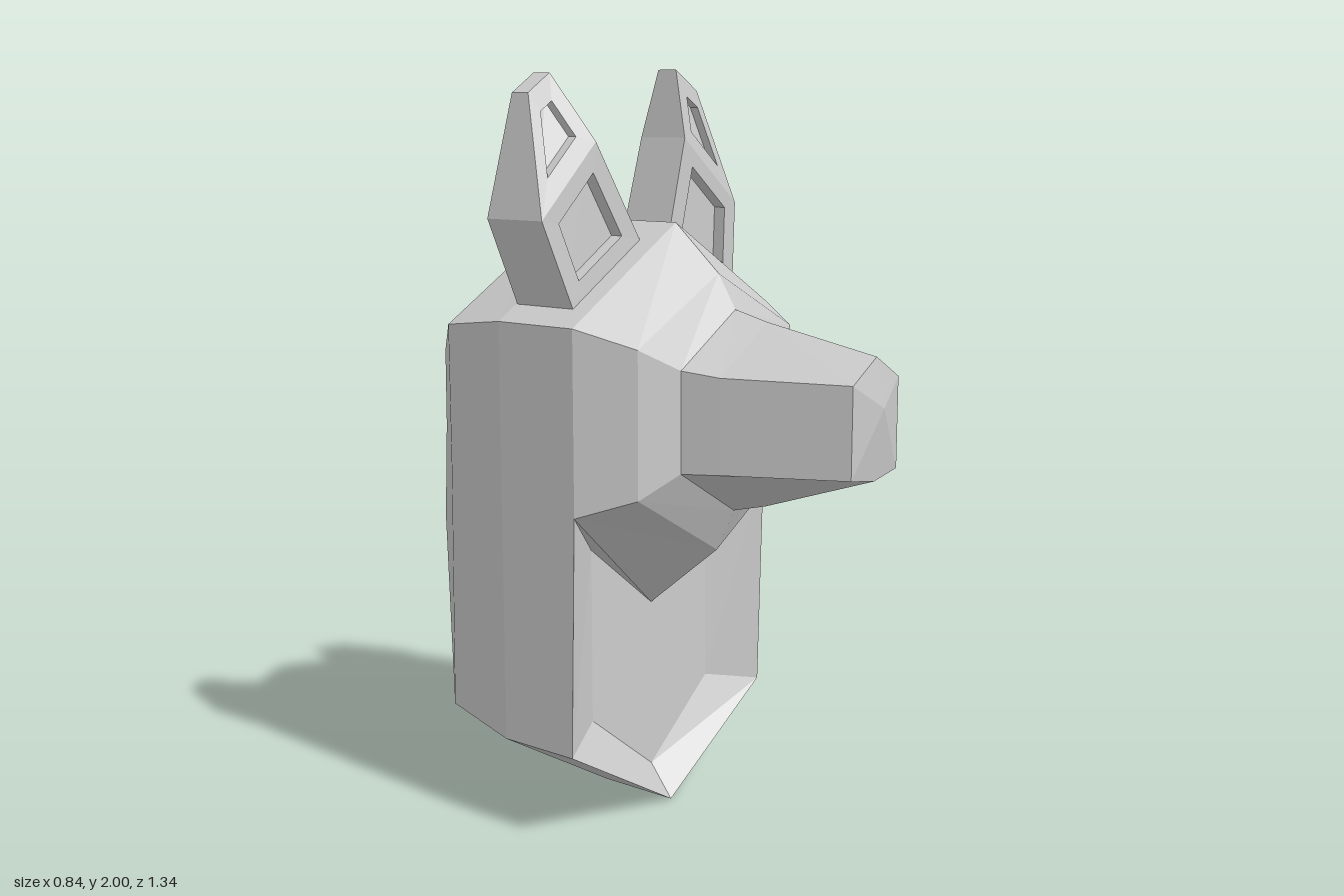
import * as THREE from 'three';

const material = new THREE.MeshStandardMaterial({ color: 0xcccccc, flatShading: true });

// Turns a list of convex polygons (corner arrays) into a flat-faceted mesh
function facetMesh(name, faces) {
  const pos = [];
  for (const f of faces)
    for (let i = 1; i < f.length - 1; i++) pos.push(...f[0], ...f[i], ...f[i + 1]);
  const g = new THREE.BufferGeometry();
  g.setAttribute('position', new THREE.Float32BufferAttribute(pos, 3));
  g.computeVertexNormals();
  const mesh = new THREE.Mesh(g, material);
  mesh.name = name;
  return mesh;
}

// Adds the -x twin of every polygon
const mirrored = (faces) =>
  faces.concat(faces.map((f) => f.map(([x, y, z]) => [-x, y, z]).reverse()));

// Skins half rings, listed from front to back and each from top to bottom
function skin(rings) {
  const faces = [];
  for (let r = 0; r < rings.length - 1; r++) {
    const a = rings[r], b = rings[r + 1];
    const n = Math.min(a.length, b.length);
    for (let i = 0; i < n - 1; i++) faces.push([a[i], a[i + 1], b[i + 1], b[i]]);
  }
  return faces;
}

// Half of a hexagonal section: top, upper side, lower side, bottom
const hex = (z, w, top, upper, lower, bottom) =>
  [[0, top, z], [w, upper, z], [w, lower, z], [0, bottom, z]];

// Ear with two framed pockets in its front; outline rows are [x, y, zFront, zBack]
function ear(name, outline, flip) {
  const F = outline.map(([x, y, zf]) => [x, y, zf]);
  const B = outline.map(([x, y, , zb]) => [x, y, zb]);
  const faces = [];
  const pocket = (quad, scale, depth) => {
    const c = [0, 1, 2].map((k) => quad.reduce((s, p) => s + p[k] / 4, 0));
    const rim = quad.map((p) => p.map((v, k) => c[k] + (v - c[k]) * scale));
    const floor = rim.map(([x, y, z]) => [x, y, z - depth]);
    for (let i = 0; i < 4; i++) {
      const j = (i + 1) % 4;
      faces.push([quad[i], quad[j], rim[j], rim[i]]);
      faces.push([rim[i], rim[j], floor[j], floor[i]]);
    }
    faces.push(floor);
  };
  pocket([F[0], F[1], F[2], F[5]], 0.64, 0.035);
  pocket([F[5], F[2], F[3], F[4]], 0.52, 0.025);
  faces.push([B[5], B[2], B[1], B[0]], [B[4], B[3], B[2], B[5]]);
  for (let i = 0; i < 6; i++) {
    const j = (i + 1) % 6;
    faces.push([F[j], F[i], B[i], B[j]]);
  }
  return facetMesh(name, flip ? faces.map((f) => [...f].reverse()) : faces);
}

export function createModel() {
  const model = new THREE.Group();
  model.name = 'animalHead';

  // Shared corners of the jaw and the recessed neck front
  const crown = [0, 1.605, 0.025], temple = [0.413, 1.365, 0.025], jaw = [0.413, 0.885, 0.025];
  const throat = [0, 0.56, -0.06], throatSide = [0.25, 0.757, -0.06];
  const neckSide = [0.413, 0.245, 0.01], neckTip = [0, 0, 0.01];
  const panelSide = [0.25, 0.285, -0.06], panelTip = [0, 0.09, -0.06];

  // Snout and face
  const snout = [
    hex(0.645, 0.105, 1.305, 1.245, 1.012, 0.995),
    hex(0.32, 0.2, 1.365, 1.245, 1.0, 0.885),
    hex(0.22, 0.228, 1.39, 1.257, 0.995, 0.86),
    hex(0.165, 0.33, 1.48, 1.315, 0.935, 0.745),
  ];
  const brow = snout[3];
  const nose = [0, 1.18, 0.67];
  const face = skin([...snout, [crown, temple, jaw]]);
  for (let i = 0; i < 3; i++) face.push([nose, snout[0][i + 1], snout[0][i]]);
  face.push([brow[2], brow[3], throat, throatSide, jaw]);

  // Skull and neck
  const back = [[0, 1.335, -0.655], [0.183, 1.23, -0.655], [0.183, 1.02, -0.657],
    [0.183, 0.75, -0.67], [0, 0.645, -0.67]];
  const backMid = [0, 0.96, -0.657];
  const skull = skin([
    [crown, temple, jaw, neckSide, neckTip],
    [[0, 1.605, -0.225], [0.413, 1.365, -0.225], [0.413, 0.9, -0.225],
      [0.413, 0.245, -0.225], [0, 0, -0.225]],
    [[0, 1.54, -0.46], [0.36, 1.335, -0.46], [0.36, 0.93, -0.46],
      [0.36, 0.275, -0.47], [0, 0.065, -0.47]],
    back,
  ]);
  skull.push([back[0], back[1], back[2], backMid], [backMid, back[2], back[3], back[4]]);

  // Recessed panel and its bevelled border
  const neckFront = [
    [jaw, throatSide, panelSide, neckSide],
    [neckSide, panelSide, panelTip, neckTip],
    [throatSide, throat, panelTip, panelSide],
  ];

  const parts = { snout: face, skullAndNeck: skull, neckFront };
  for (const [name, faces] of Object.entries(parts)) {
    const mesh = facetMesh(name, mirrored(faces));
    mesh.position.x = 0.005;
    model.add(mesh);
  }

  // Ears: inner base, outer base, outer bend, outer tip, inner tip, inner bend
  model.add(ear('leftEar', [
    [0.07, 1.56, -0.05, -0.21], [0.36, 1.4, -0.05, -0.205], [0.37, 1.64, -0.05, -0.205],
    [0.27, 1.945, -0.11, -0.16], [0.165, 2.0, -0.1, -0.16], [0.14, 1.82, -0.05, -0.2],
  ], false));
  model.add(ear('rightEar', [
    [-0.07, 1.56, -0.035, -0.215], [-0.34, 1.4, -0.03, -0.22], [-0.425, 1.625, -0.055, -0.24],
    [-0.365, 1.935, -0.15, -0.205], [-0.285, 1.985, -0.15, -0.205], [-0.225, 1.815, -0.05, -0.24],
  ], true));

  return model;
}
